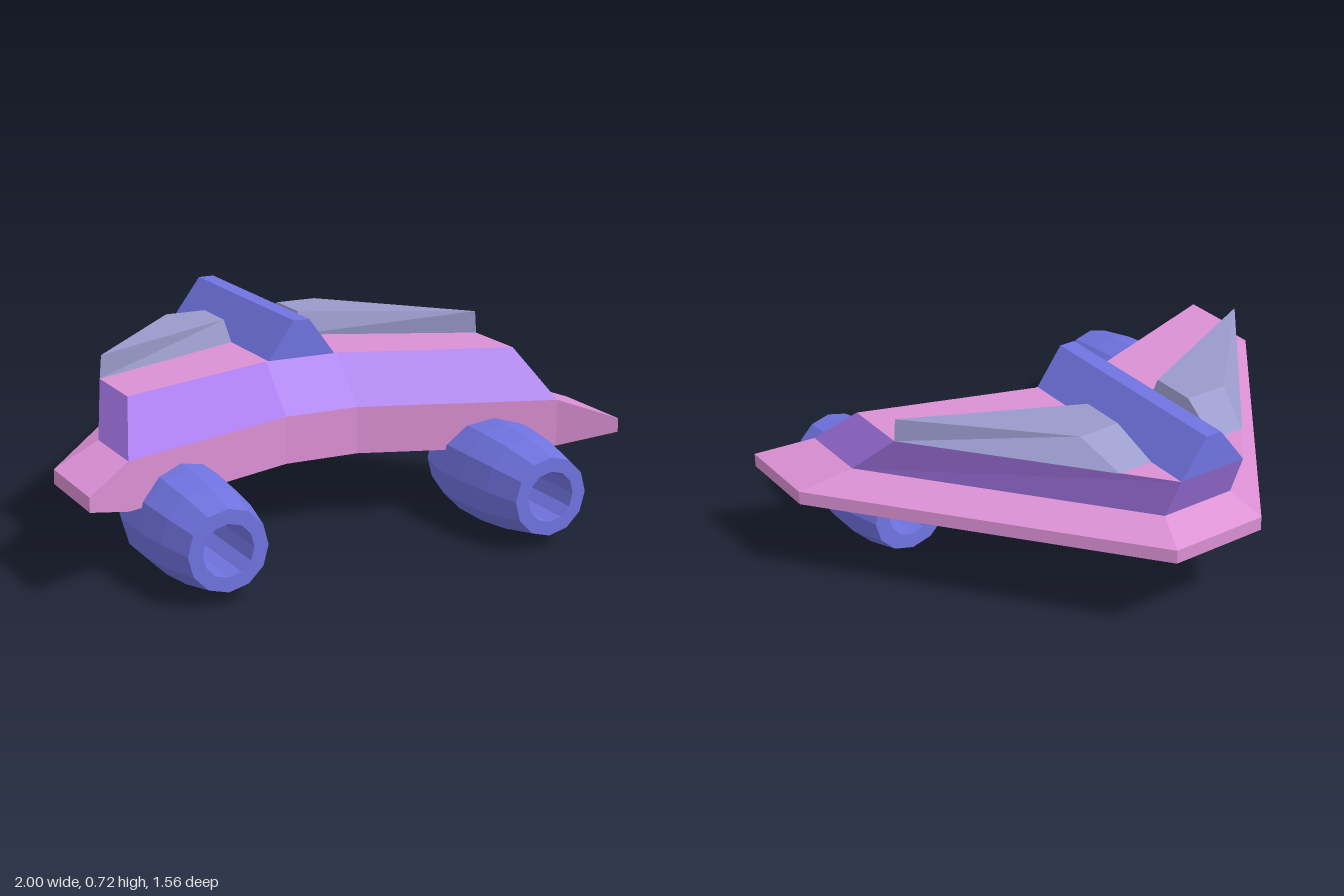
import * as THREE from 'three';

const PINK = 0xda8fd3, PURPLE = 0xa678ea, BLUE = 0x7073e0, GREY = 0x9a9acb;

function addMesh(parent, name, geometry, color) {
  const material = new THREE.MeshStandardMaterial({ color, flatShading: true });
  const mesh = new THREE.Mesh(geometry, material);
  mesh.name = name;
  parent.add(mesh);
  return mesh;
}

// Right half of an outline [x, z], front to back, mirrored into a full ring at height y.
function mirroredRing(y, half) {
  const left = half.map(([x, z]) => [-x, z]).reverse();
  return [...half, ...left].map(([x, z]) => new THREE.Vector3(x, y, z));
}

// Faceted solid through stacked rings (counter-clockwise from above), with optional caps.
function loft(rings, { bottom = false, top = false } = {}) {
  const positions = [];
  const tri = (a, b, c) => {
    const area = b.clone().sub(a).cross(c.clone().sub(a)).length();
    if (area > 1e-7) for (const p of [a, b, c]) positions.push(p.x, p.y, p.z);
  };
  const n = rings[0].length;
  for (let r = 0; r + 1 < rings.length; r++) {
    const lo = rings[r], up = rings[r + 1];
    for (let i = 0; i < n; i++) {
      const j = (i + 1) % n;
      tri(lo[i], lo[j], up[j]);
      tri(lo[i], up[j], up[i]);
    }
  }
  const cap = (ring, facing) => {
    const flat = ring.map((p) => new THREE.Vector2(p.x, -p.z));
    for (const [i, j, k] of THREE.ShapeUtils.triangulateShape(flat, [])) {
      const turn = flat[j].clone().sub(flat[i]).cross(flat[k].clone().sub(flat[i]));
      if (turn * facing > 0) tri(ring[i], ring[j], ring[k]);
      else tri(ring[i], ring[k], ring[j]);
    }
  };
  if (bottom) cap(rings[0], -1);
  if (top) cap(rings[rings.length - 1], 1);
  const geometry = new THREE.BufferGeometry();
  geometry.setAttribute('position', new THREE.Float32BufferAttribute(positions, 3));
  geometry.computeVertexNormals();
  return geometry;
}

export function createModel() {
  const model = new THREE.Group();
  model.name = 'spacecraft';

  // Swept wing hull: vertical front, bevelled sides and tail
  const inner = [[0.14, 0.25], [0.82, 0.485], [0.82, 0.485], [0.82, 0.22], [0.14, -0.66]];
  const rim = [[0.14, 0.25], [0.82, 0.485], [1, 0.605], [1, 0.28], [0.18, -0.78]];
  addMesh(model, 'hull', loft([
    mirroredRing(0.26, inner),
    mirroredRing(0.32, rim),
    mirroredRing(0.37, rim),
    mirroredRing(0.43, inner),
  ], { bottom: true }), PINK);

  // Raised deck: sloping walls and a flat top
  const deckBase = [[0.14, 0.25], [0.82, 0.485], [0.82, 0.22], [0.14, -0.66]];
  const deckEdge = [[0.14, 0.09], [0.745, 0.3], [0.745, 0.05], [0.13, -0.73]];
  const deckTop = mirroredRing(0.59, deckEdge);
  addMesh(model, 'deckWalls', loft([mirroredRing(0.43, deckBase), deckTop]), PURPLE);
  addMesh(model, 'deckTop', loft([deckTop], { top: true }), PINK);

  // Central ridge
  const section = new THREE.Shape([[-0.13, 0.59], [0.13, 0.59], [0.03, 0.725], [-0.03, 0.725]]
    .map(([x, y]) => new THREE.Vector2(x, y)));
  const ridge = new THREE.ExtrudeGeometry(section, { depth: 0.82, bevelEnabled: false });
  addMesh(model, 'ridge', ridge.translate(0, 0, -0.73), BLUE);

  // Engine section [radius, z]: outside going forward, then back through the bore
  const engineProfile = [
    [0.09, 0.2], [0.147, 0.2], [0.185, 0.34], [0.185, 0.49],
    [0.17, 0.635], [0.14, 0.78], [0.09, 0.78], [0.09, 0.2],
  ].map(([r, z]) => new THREE.Vector2(r, z));

  const panelBase = [[0.13, -0.22], [0.745, 0.05], [0.26, -0.57], [0.13, -0.57]];
  const panelTop = [[0.15, -0.24], [0.738, 0.05], [0.305, -0.41], [0.15, -0.41]];

  for (const [side, s] of [['left', 1], ['right', -1]]) {
    // Wedge panel beside the ridge
    const ring = (y, points) => {
      const list = points.map(([x, z]) => new THREE.Vector3(s * x, y, z));
      return s < 0 ? list.reverse() : list;
    };
    addMesh(model, side + 'Panel',
      loft([ring(0.59, panelBase), ring(0.672, panelTop)], { bottom: true, top: true }), GREY);

    // Hollow engine under the wing
    const engine = new THREE.LatheGeometry(engineProfile, 12).rotateX(Math.PI / 2);
    addMesh(model, side + 'Engine', engine, BLUE).position.set(s * 0.605, 0.187, 0);
  }
  return model;
}
